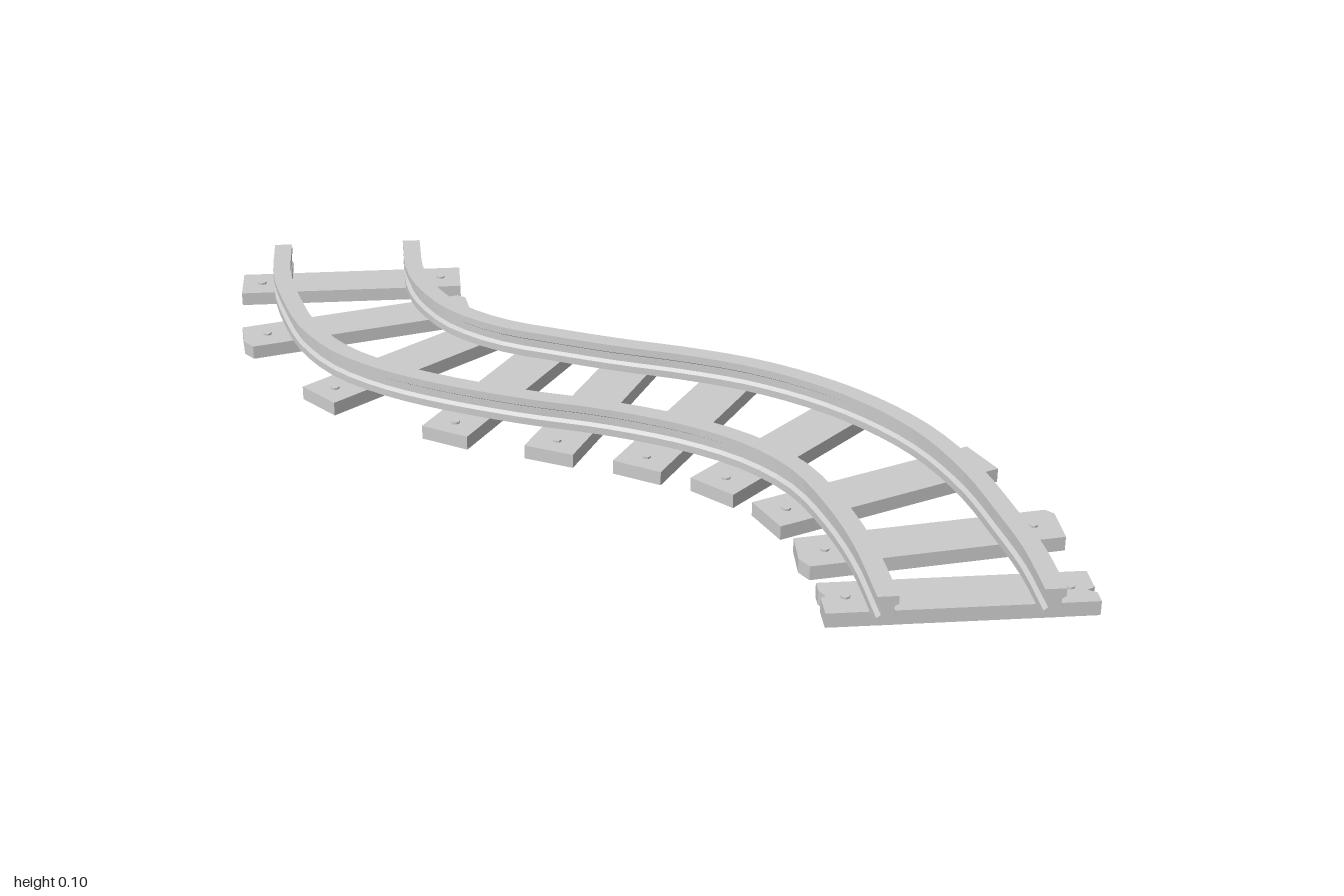
import * as THREE from 'three';

const grey = new THREE.MeshStandardMaterial({ color: 0xcccccc, flatShading: true });

// I-shaped rail section as [sideways, up], counter-clockwise
const half = [[0.0235, 0.035], [0.0235, 0.053], [0.014, 0.06], [0.014, 0.08], [0.0235, 0.086], [0.0235, 0.105]];
const section = [...half, ...half.map(([s, y]) => [-s, y]).reverse()];

// Sweep the section along a flat curve given as [x, z] points
function railGeometry(path, steps = 44) {
  const curve = new THREE.CatmullRomCurve3(path.map(([x, z]) => new THREE.Vector3(x, 0, z)), false, 'centripetal');
  const rings = [];
  for (let i = 0; i <= steps; i++) {
    const p = curve.getPointAt(i / steps);
    const t = curve.getTangentAt(i / steps);
    if (i === 0 || i === steps) t.set(0, 0, 1); // ends are cut square
    rings.push(section.map(([s, y]) => [p.x + t.z * s, y, p.z - t.x * s]));
  }
  const pos = [];
  const n = section.length;
  const tri = (a, b, c) => pos.push(...a, ...b, ...c);
  for (let i = 0; i < steps; i++) {
    for (let j = 0; j < n; j++) {
      const k = (j + 1) % n;
      const a = rings[i][j], b = rings[i][k], c = rings[i + 1][k], d = rings[i + 1][j];
      tri(a, b, c);
      tri(a, c, d);
    }
  }
  // End caps
  const faces = THREE.ShapeUtils.triangulateShape(section.map(([s, y]) => new THREE.Vector2(s, y)), []);
  for (const [a, b, c] of faces) {
    tri(rings[steps][a], rings[steps][b], rings[steps][c]);
    tri(rings[0][a], rings[0][c], rings[0][b]);
  }
  const g = new THREE.BufferGeometry();
  g.setAttribute('position', new THREE.Float32BufferAttribute(pos, 3));
  g.computeVertexNormals();
  return g;
}

// Plank outlines: extra points worked into the right and left ends
const L = 0.298, W = 0.0635, H = 0.035;
const ends = {
  square: [[], []],
  worn: [[[0.313, -0.042]], [[-0.313, 0.026]]],
  split: [[[L, 0.007], [0.273, 0.025], [L, 0.027]], []],
  notched: [[[L, 0.005], [0.28, 0.015], [L, 0.026]], [[-L, 0], [-0.285, -0.008], [-L, -0.03]]],
};

function plankGeometry(style) {
  const [right, left] = ends[style];
  const outline = [[-L, -W], [L, -W], ...right, [L, W], [-L, W], ...left];
  const shape = new THREE.Shape(outline.map(([x, y]) => new THREE.Vector2(x, y)));
  return new THREE.ExtrudeGeometry(shape, { depth: H, bevelEnabled: false })
    .rotateX(Math.PI / 2).translate(0, H, 0);
}

// Sleepers: centre x, centre z, direction x, direction z, end style
const sleepers = [
  [-0.66, -0.897, 1, 0, 'square'],
  [-0.641, -0.63, 109, -30.5, 'worn'],
  [-0.504, -0.38, 87, -71, 'split'],
  [-0.266, -0.217, 60, -95, 'square'],
  [-0.042, -0.11, 52, -100, 'square'],
  [0.182, 0.002, 60, -95, 'square'],
  [0.401, 0.158, 80, -78, 'square'],
  [0.57, 0.394, 103.5, -43, 'square'],
  [0.644, 0.645, 111, -15, 'worn'],
  [0.657, 0.881, 1, 0, 'notched'],
];

const railPaths = {
  rightRail: [[-0.847, -1], [-0.842, -0.79], [-0.8, -0.58], [-0.763, -0.46], [-0.683, -0.316], [-0.578, -0.21],
    [-0.446, -0.12], [-0.235, -0.014], [-0.024, 0.07], [0.161, 0.171], [0.293, 0.282], [0.383, 0.415],
    [0.435, 0.584], [0.467, 0.77], [0.48, 1]],
  leftRail: [[-0.493, -1], [-0.483, -0.79], [-0.446, -0.66], [-0.377, -0.534], [-0.261, -0.428], [-0.129, -0.359],
    [0.029, -0.285], [0.187, -0.221], [0.346, -0.141], [0.493, -0.03], [0.609, 0.097], [0.704, 0.251],
    [0.773, 0.452], [0.81, 0.664], [0.831, 0.823], [0.836, 1]],
};

export function createModel() {
  const model = new THREE.Group();
  model.name = 'curvedTrack';

  for (const [name, path] of Object.entries(railPaths)) {
    const rail = new THREE.Mesh(railGeometry(path), grey);
    rail.name = name;
    model.add(rail);
  }

  const boltGeometry = new THREE.CylinderGeometry(0.011, 0.011, 0.008, 8);
  sleepers.forEach(([x, z, dx, dz, style], i) => {
    const sleeper = new THREE.Group();
    sleeper.name = `sleeper${i + 1}`;
    const plank = new THREE.Mesh(plankGeometry(style), grey);
    plank.name = 'plank';
    sleeper.add(plank);
    // A bolt head near each end
    for (const side of [-1, 1]) {
      const bolt = new THREE.Mesh(boltGeometry, grey);
      bolt.name = 'bolt';
      bolt.position.set(side * 0.245, H + 0.001, 0);
      sleeper.add(bolt);
    }
    sleeper.position.set(x, 0, z);
    sleeper.rotation.y = -Math.atan2(dz, dx);
    model.add(sleeper);
  });
  return model;
}
